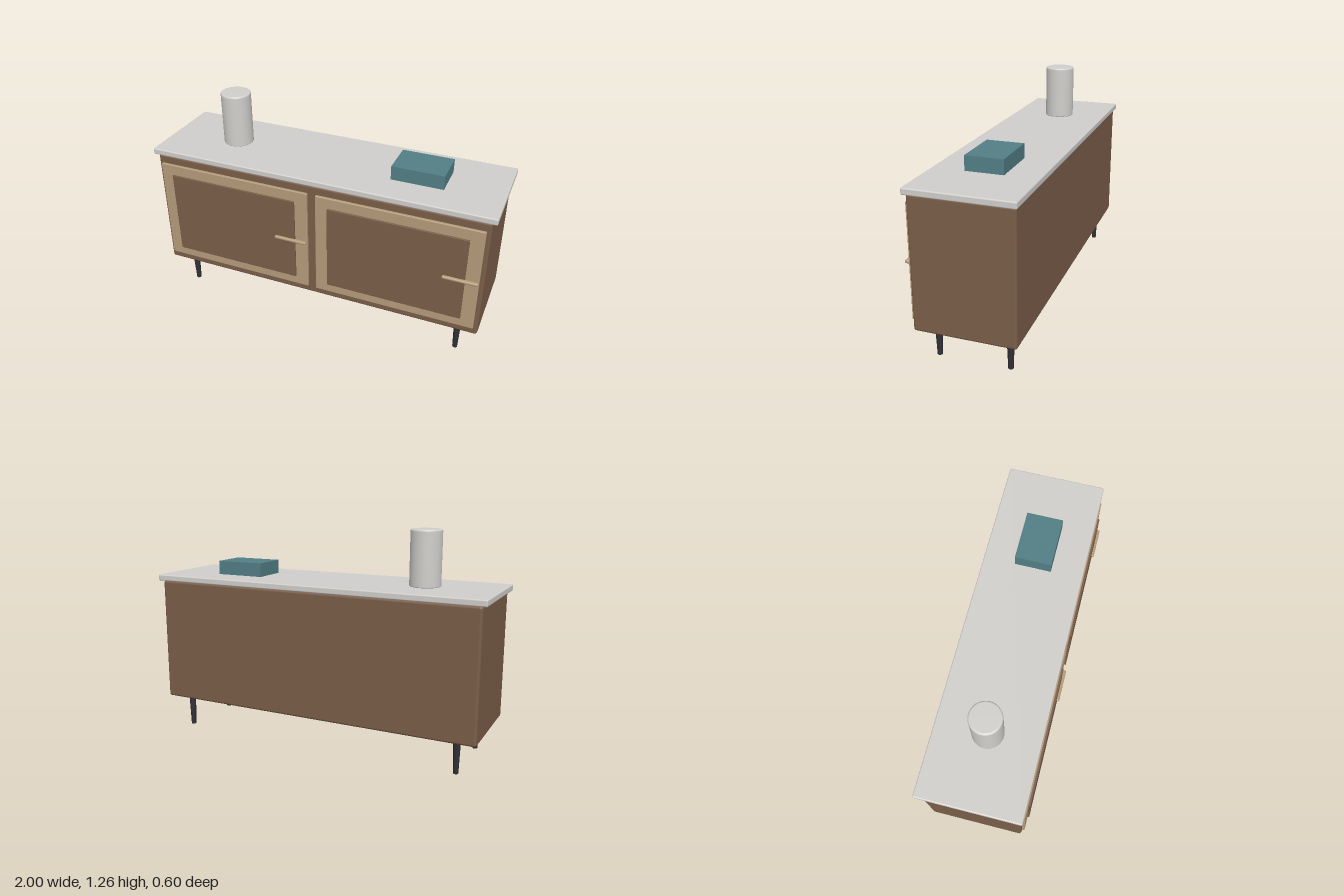
import * as THREE from 'three';
import { RoundedBoxGeometry } from 'three/addons/geometries/RoundedBoxGeometry.js';

function material(name, color) {
  const m = new THREE.MeshStandardMaterial({ color });
  m.name = name;
  return m;
}

export function createModel() {
  const walnut = material('walnut', 0x7b5e49);
  const oak = material('pale oak', 0xb59c7b);
  const stone = material('pale stone', 0xd0cfcc);
  const teal = material('teal', 0x527f85);
  const charcoal = material('charcoal', 0x303036);

  const model = new THREE.Group();
  model.name = 'sideboard';

  function add(name, geometry, mat, x, y, z, parent = model) {
    const mesh = new THREE.Mesh(geometry, mat);
    mesh.name = name;
    mesh.position.set(x, y, z);
    parent.add(mesh);
    return mesh;
  }
  const rounded = (w, h, d, r) => new RoundedBoxGeometry(w, h, d, 3, r);

  // Cabinet and worktop
  add('cabinet', rounded(1.95, 0.727, 0.547, 0.014), walnut, 0, 0.5535, -0.0115);
  add('worktop', rounded(2, 0.036, 0.57, 0.007), stone, 0, 0.935, -0.013);

  // Two doors, each with a raised panel and a bar handle on its +x side
  for (const [name, x] of [['rightDoor', -0.4895], ['leftDoor', 0.4875]]) {
    const door = new THREE.Group();
    door.name = name;
    door.position.set(x, 0.553, 0);
    model.add(door);
    add('doorFrame', rounded(0.928, 0.628, 0.025, 0.004), oak, 0, 0, 0.2645, door);
    add('doorPanel', rounded(0.78, 0.51, 0.02, 0.002), walnut, 0, -0.003, 0.277, door);
    add('handle', rounded(0.194, 0.018, 0.024, 0.008), oak, 0.365, -0.002, 0.29, door);
  }

  // Tapered legs
  const legShape = new THREE.CylinderGeometry(0.021, 0.014, 0.2, 20);
  for (const x of [-0.855, 0.853])
    for (const z of [0.183, -0.208]) add('leg', legShape, charcoal, x, 0.1, z);

  // Vase with softened rims
  const profile = new THREE.Path();
  profile.moveTo(0, 0);
  profile.lineTo(0.081, 0);
  profile.quadraticCurveTo(0.086, 0, 0.086, 0.005);
  profile.lineTo(0.086, 0.295);
  profile.quadraticCurveTo(0.086, 0.307, 0.074, 0.307);
  profile.lineTo(0, 0.307);
  add('vase', new THREE.LatheGeometry(profile.getPoints(5), 40), stone, -0.589, 0.953, -0.0125);

  // Storage box
  add('storageBox', new THREE.BoxGeometry(0.292, 0.08, 0.208), teal, 0.534, 0.993, -0.0125);

  return model;
}
